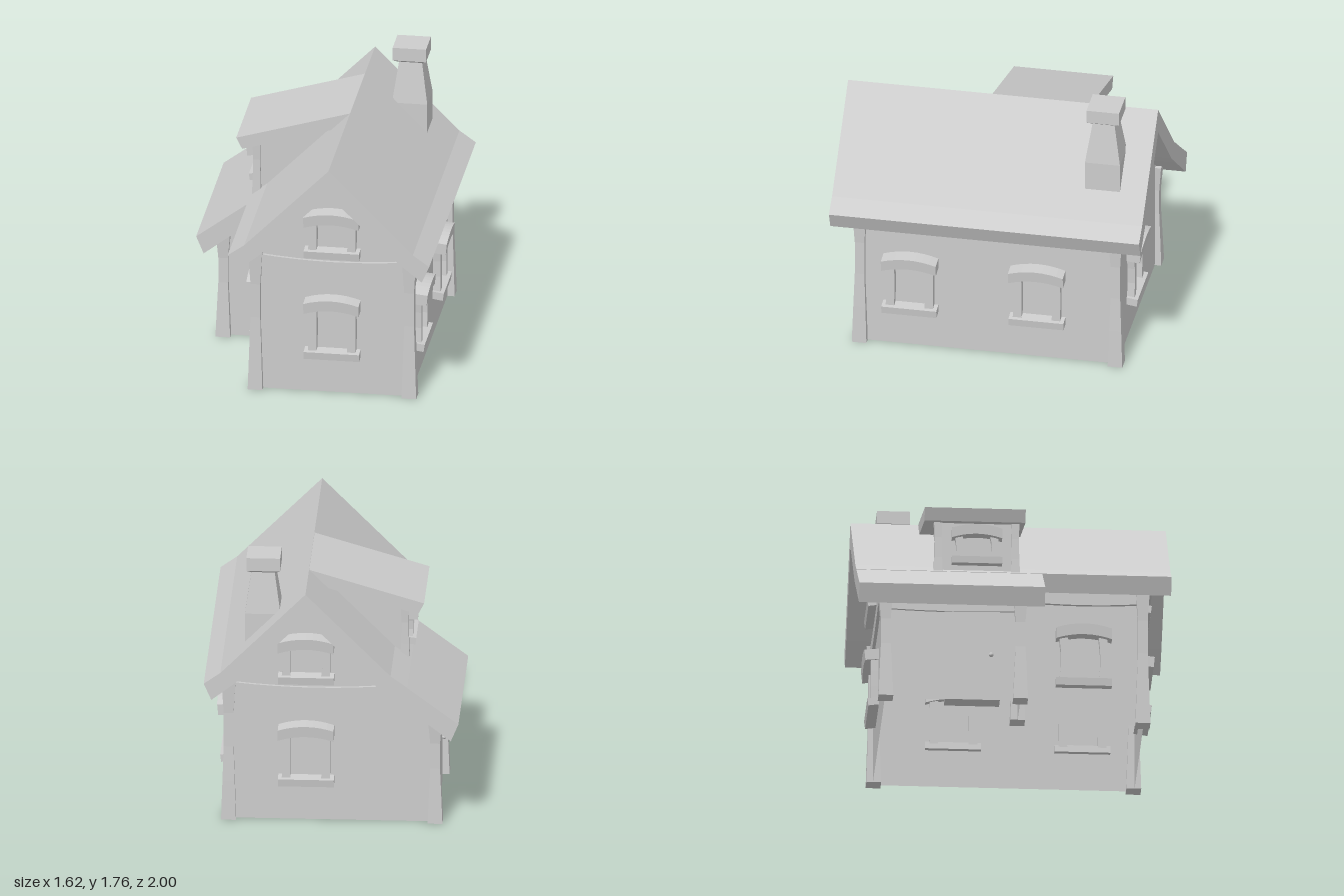
import * as THREE from 'three';

const mat = new THREE.MeshStandardMaterial({ color: 0xcccccc, flatShading: true });
const thin = new THREE.MeshStandardMaterial({ color: 0xcccccc, flatShading: true, side: THREE.DoubleSide });

export function createModel() {
  const house = new THREE.Group();
  house.name = 'cottage';

  const add = (name, geo, parent = house, material = mat) => {
    const mesh = new THREE.Mesh(geo, material);
    mesh.name = name;
    parent.add(mesh);
    return mesh;
  };
  const polygon = pts => new THREE.Shape(pts.map(p => new THREE.Vector2(...p)));
  // Outline in x/y extruded from z0 to z1
  const slab = (shape, z0, z1) =>
    new THREE.ExtrudeGeometry(shape, { depth: z1 - z0, bevelEnabled: false, curveSegments: 8 }).translate(0, 0, z0);
  // Rectangular column through rows of [y, half width, half depth, x shift]
  const column = rows => {
    const n = rows.length - 1;
    const geo = new THREE.BoxGeometry(2, 1, 2, 1, n, 1);
    const p = geo.attributes.position;
    for (let i = 0; i < p.count; i++) {
      const [y, hx, hz, dx = 0] = rows[Math.round((p.getY(i) + 0.5) * n)];
      p.setXYZ(i, p.getX(i) * hx + dx, y, p.getZ(i) * hz);
    }
    geo.computeVertexNormals();
    return geo;
  };
  // Beam or lintel bent in the middle: ends from y0 to y1, control points offset by bend
  const bentShape = (x0, x1, y0, y1, bend) => {
    const s = new THREE.Shape(), xm = (x0 + x1) / 2;
    s.moveTo(x0, y0);
    s.quadraticCurveTo(xm, y0 + bend * 2, x1, y0);
    s.lineTo(x1, y1);
    s.quadraticCurveTo(xm, y1 + bend * 2, x0, y1);
    return s;
  };

  // Main gable roof and the lower wing roof
  add('mainRoof', slab(polygon([
    [0.16, 1.595], [-0.38, 1.05], [-0.485, 0.975], [-0.437, 0.865], [-0.29, 0.98],
    [0.16, 1.43], [0.61, 0.98], [0.757, 0.865], [0.805, 0.975], [0.70, 1.05]]), -1, 1));
  add('wingRoof', slab(polygon([[-0.38, 1.05], [-0.81, 0.73], [-0.762, 0.615], [-0.29, 0.98]]), -1, 0.18));

  // Walls, open at the bottom
  const wall = (name, pts, z) =>
    add(name, new THREE.ShapeGeometry(polygon(pts)).translate(0, 0, z), house, thin);
  const sideWall = (name, x, z0, z1, y0, y1) => {
    const geo = new THREE.PlaneGeometry(z1 - z0, y1 - y0).rotateY(Math.PI / 2);
    add(name, geo.translate(x, (y0 + y1) / 2, (z0 + z1) / 2), house, thin);
  };
  wall('frontWall', [[-0.33, 0], [0.655, 0], [0.655, 0.96], [0.16, 1.45], [-0.33, 0.96]], 0.83);
  wall('backWall', [[-0.655, 0], [0.655, 0], [0.655, 0.96], [0.16, 1.45], [-0.30, 0.99], [-0.655, 0.72]], -0.83);
  wall('wingFrontWall', [[-0.655, 0], [-0.33, 0], [-0.33, 0.97], [-0.655, 0.72]], 0.03);
  sideWall('rightWall', 0.655, -0.83, 0.83, 0, 0.96);
  sideWall('leftWall', -0.33, 0.03, 0.83, 0, 0.96);
  sideWall('wingSideWall', -0.655, -0.83, 0.03, 0, 0.72);

  // Flared corner posts
  const post = (x, z, h) => {
    const rows = [[0, 0.047], [0.27, 0.039], [0.52, 0.031], [0.76, 0.031], [1, 0.045]];
    add('cornerPost', column(rows.map(([t, r]) => [t * h, r, r]))).position.set(x, 0, z);
  };
  for (const [x, z, h] of [[0.655, 0.825, 0.95], [0.655, -0.825, 0.95], [-0.33, 0.825, 0.95],
    [-0.33, 0.03, 0.95], [-0.655, 0.03, 0.71], [-0.655, -0.825, 0.71]]) post(x, z, h);

  // Sagging beams under the gables and eaves
  add('frontBeam', slab(bentShape(-0.31, 0.63, 0.838, 0.93, -0.027), 0.80, 0.85));
  add('backBeam', slab(bentShape(-0.42, 0.63, 0.838, 0.93, -0.027), -0.85, -0.80));
  add('wingFrontBeam', slab(polygon([[-0.52, 0.81], [-0.36, 0.81], [-0.36, 0.935]]), 0.01, 0.05));
  const wavy = new THREE.Shape();
  wavy.moveTo(-0.8, 0.838);
  wavy.lineTo(-0.28, 0.835);
  wavy.quadraticCurveTo(0.02, 0.825, 0.27, 0.79);
  wavy.quadraticCurveTo(0.5, 0.805, 0.8, 0.838);
  wavy.lineTo(0.8, 0.93);
  wavy.lineTo(-0.8, 0.93);
  add('rightBeam', slab(wavy, -0.02, 0.02).rotateY(Math.PI / 2)).position.x = 0.655;
  add('leftBeam', slab(bentShape(-0.8, -0.06, 0.84, 0.93, -0.015), -0.02, 0.02).rotateY(Math.PI / 2)).position.x = -0.33;
  add('wingSideBeam', slab(bentShape(-0.02, 0.8, 0.62, 0.70, -0.01), -0.015, 0.015).rotateY(Math.PI / 2)).position.x = -0.655;

  // Windows: sill, two crooked jambs and an arched lintel
  const makeWindow = (x, y, z, turn, jambHeight, scale = 1) => {
    const g = new THREE.Group();
    g.name = 'window';
    const sill = add('windowSill', new THREE.BoxGeometry(0.355, 0.05, 0.09), g);
    sill.position.set(0, 0.03, 0.025);
    sill.rotation.x = 0.14;
    for (const s of [-1, 1]) {
      const rows = [[0, 0.028], [0.35, 0.024], [0.7, 0.025], [1, 0.028]];
      const jamb = add('windowJamb', column(rows.map(([t, r], i) =>
        [t * (jambHeight + 0.03), r, 0.033, [-0.002, 0.004, 0.003, -0.003][i]])), g);
      jamb.position.set(s * 0.125, 0.045, 0.015);
    }
    const lintel = add('windowLintel', slab(bentShape(-0.177, 0.177, 0, 0.072, 0.03), -0.03, 0.085), g);
    lintel.position.set(0, 0.055 + jambHeight, 0);
    lintel.rotation.x = 0.1;
    g.position.set(x, y, z);
    g.rotation.y = turn;
    g.scale.setScalar(scale);
    house.add(g);
  };
  for (const s of [1, -1]) {
    const turn = s > 0 ? 0 : Math.PI;
    makeWindow(0.163, 0.245, s * 0.83, turn, 0.27);
    makeWindow(0.163, 0.94, s * 0.83, turn, 0.17);
  }
  for (const z of [0.5, -0.32]) makeWindow(0.655, 0.245, z, Math.PI / 2, 0.27);
  makeWindow(-0.33, 0.245, 0.45, -Math.PI / 2, 0.27);

  // Dormer on the left slope
  add('dormerRoof', slab(polygon([[0.16, 1.594], [-0.57, 1.38], [-0.532, 1.305], [0.05, 1.475]]), -0.57, 0.07));
  sideWall('dormerFrontWall', -0.445, -0.48, 0.01, 0.97, 1.36);
  for (const z of [-0.48, 0.01]) {
    wall('dormerSideWall', [[-0.445, 0.97], [0.10, 1.52], [-0.445, 1.36]], z);
    add('dormerPost', column([[0.96, 0.03, 0.03], [1.08, 0.025, 0.025], [1.22, 0.022, 0.022], [1.355, 0.027, 0.027]]))
      .position.set(-0.445, 0, z);
  }
  makeWindow(-0.445, 1.03, -0.235, -Math.PI / 2, 0.14, 0.9);

  // Door in the wing, with a round knob
  add('door', new THREE.BoxGeometry(0.1, 0.62, 0.35)).position.set(-0.613, 0.31, -0.275);
  add('doorKnob', new THREE.SphereGeometry(0.015, 10, 8)).position.set(-0.675, 0.31, -0.156);

  // Chimney stack and cap
  add('chimneyStack', column([[1.0, 0.113, 0.113], [1.39, 0.113, 0.113], [1.665, 0.073, 0.07]]))
    .position.set(0.44, 0, -0.716);
  add('chimneyCap', column([[1.66, 0.08, 0.077], [1.678, 0.107, 0.105], [1.765, 0.107, 0.105]]))
    .position.set(0.437, 0, -0.716);

  return house;
}
